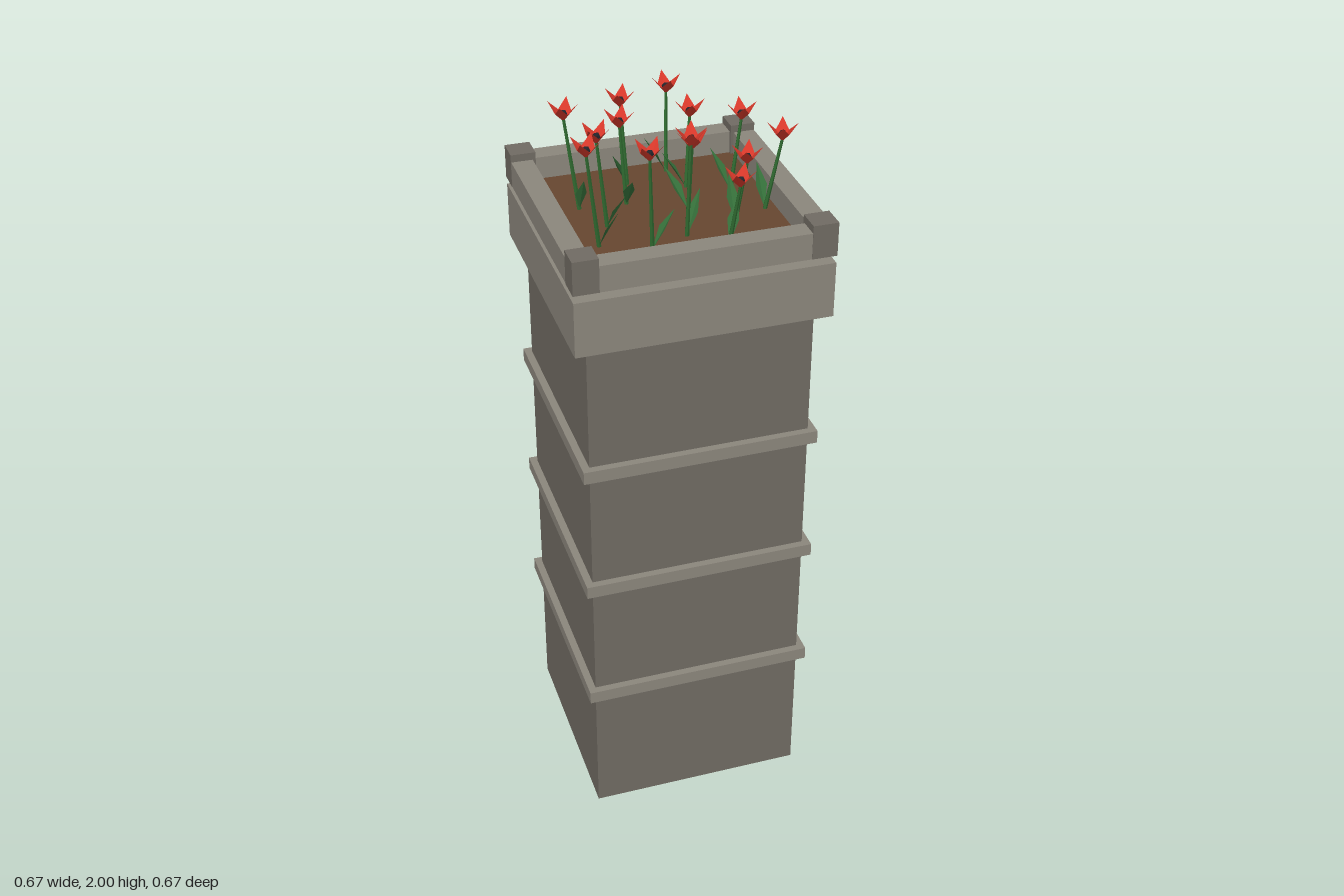
import * as THREE from 'three';

const mat = (color, side = THREE.FrontSide) =>
  new THREE.MeshStandardMaterial({ color, flatShading: true, side });

const M = {
  darkStone: mat(0x706b63),
  lightStone: mat(0x8b867c),
  soil: mat(0x664630),
  stem: mat(0x2f6a30),
  leaf: mat(0x35703a, THREE.DoubleSide),
  petal: mat(0xd8382a, THREE.DoubleSide),
  heart: mat(0x23232a),
};

const SOIL_Y = 1.70;

// Flower head x, y, z, turn in degrees, then leaf tip x, z
const FLOWERS = [
  [0.08, 1.93, -0.25, 0, 0.012, -0.225],
  [-0.057, 1.93, -0.2, 27, -0.095, -0.146],
  [0.105, 1.91, -0.13, 8, 0.03, -0.128],
  [0.225, 1.91, -0.075, 8, 0.157, -0.116],
  [-0.235, 1.965, -0.088, 28, -0.203, -0.028],
  [-0.095, 1.93, -0.078, 28, -0.09, 0.014],
  [-0.188, 1.955, 0.042, 45, -0.123, 0.077],
  [0.066, 1.89, 0.01, 0, 0.012, -0.055],
  [-0.243, 1.975, 0.15, 35, -0.168, 0.16],
  [0.281, 1.91, 0.071, 20, 0.243, -0.004],
  [0.172, 1.885, 0.12, 25, 0.155, 0.034],
  [0.012, 1.975, 0.163, 18, 0.06, 0.093],
  [-0.106, 1.975, 0.213, 45, -0.032, 0.178],
  [0.11, 1.89, 0.246, 35, 0.135, 0.164],
];

function box(parent, name, material, w, y0, y1, d, x = 0, z = 0) {
  const mesh = new THREE.Mesh(new THREE.BoxGeometry(w, y1 - y0, d), material);
  mesh.position.set(x, (y0 + y1) / 2, z);
  mesh.name = name;
  parent.add(mesh);
}

function facets(points, index) {
  const g = new THREE.BufferGeometry();
  g.setAttribute('position', new THREE.Float32BufferAttribute(points.flat(), 3));
  g.setIndex(index);
  const flat = g.toNonIndexed();
  flat.computeVertexNormals();
  return flat;
}

// Four pointed petals, each folded along its middle, forming an open cup
function petalGeometry() {
  const points = [[0, -0.026, 0]];
  const index = [];
  for (let i = 0; i < 8; i++) {
    const a = (i * Math.PI) / 4;
    const [r, y] = i % 2 ? [0.023, -0.002] : [0.039, 0.024];
    points.push([r * Math.cos(a), y, r * Math.sin(a)]);
    index.push(0, 1 + ((i + 1) % 8), 1 + i);
  }
  return facets(points, index);
}

// Folded blade rising from the soil to its tip
function leafGeometry(base, tip) {
  const dir = tip.clone().sub(base);
  const side = new THREE.Vector3(-dir.z, 0, dir.x).normalize().multiplyScalar(0.015);
  const mid = base.clone().addScaledVector(dir, 0.42);
  mid.y += 0.012;
  const keel = mid.clone();
  keel.y -= 0.012;
  const left = mid.clone().add(side);
  const right = mid.clone().sub(side);
  return facets(
    [base, left, keel, right, tip].map((p) => p.toArray()),
    [0, 1, 2, 0, 2, 3, 1, 4, 2, 2, 4, 3],
  );
}

function createFlower([x, y, z, turn, tipX, tipZ], petals, heart) {
  const flower = new THREE.Group();
  flower.name = 'flower';
  const add = (name, geometry, material) => {
    const mesh = new THREE.Mesh(geometry, material);
    mesh.name = name;
    flower.add(mesh);
    return mesh;
  };
  // Stems lean outward from the middle of the planter
  const base = new THREE.Vector3(x * 0.87, SOIL_Y, z * 0.87);
  const head = new THREE.Vector3(x, y, z);
  const top = new THREE.Vector3(x, y - 0.02, z);
  const axis = top.clone().sub(base);
  const stem = add('stem', new THREE.CylinderGeometry(0.004, 0.006, axis.length(), 5), M.stem);
  stem.position.copy(base).add(top).multiplyScalar(0.5);
  stem.quaternion.setFromUnitVectors(new THREE.Vector3(0, 1, 0), axis.normalize());

  add('leaf', leafGeometry(base, new THREE.Vector3(tipX, 1.8, tipZ)), M.leaf);

  const cup = add('petals', petals, M.petal);
  cup.position.copy(head);
  cup.rotation.y = -THREE.MathUtils.degToRad(turn);
  add('flowerHeart', heart, M.heart).position.set(x, y - 0.006, z);
  return flower;
}

export function createModel() {
  const model = new THREE.Group();
  model.name = 'flowerPillar';

  // Shaft with three bands and a wide capital
  box(model, 'shaft', M.darkStone, 0.59, 0, 1.52, 0.59);
  for (const y of [0.41, 0.78, 1.15]) {
    box(model, 'band', M.lightStone, 0.63, y - 0.018, y + 0.018, 0.63);
  }
  box(model, 'capital', M.lightStone, 0.664, 1.52, 1.67, 0.664);

  // Planter rim raised just clear of the capital, with corner posts
  for (const s of [-1, 1]) {
    box(model, 'rimWall', M.lightStone, 0.55, 1.69, 1.76, 0.057, 0, s * 0.3035);
    box(model, 'rimWall', M.lightStone, 0.057, 1.69, 1.76, 0.55, s * 0.3035, 0);
    for (const t of [-1, 1]) {
      box(model, 'cornerPost', M.darkStone, 0.066, 1.69, 1.78, 0.066, s * 0.3, t * 0.3);
    }
  }
  box(model, 'soil', M.soil, 0.55, 1.69, SOIL_Y, 0.55);

  // Flowers
  const petals = petalGeometry();
  const heart = new THREE.IcosahedronGeometry(0.011, 0);
  const flowers = new THREE.Group();
  flowers.name = 'flowers';
  for (const f of FLOWERS) flowers.add(createFlower(f, petals, heart));
  model.add(flowers);
  return model;
}
